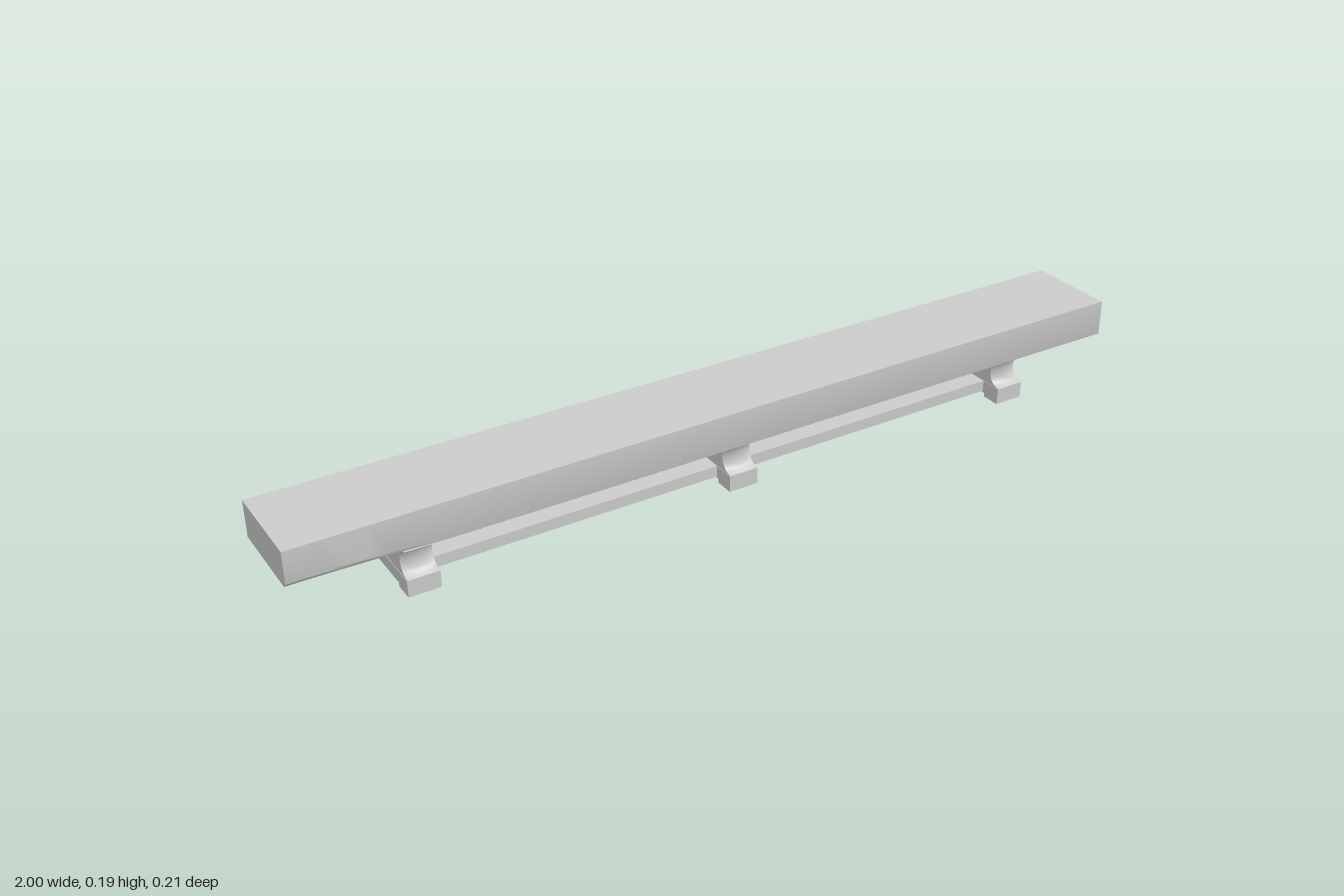
import * as THREE from 'three';
import { toCreasedNormals } from 'three/addons/utils/BufferGeometryUtils.js';

const material = new THREE.MeshStandardMaterial({ color: 0xcccccc });

function part(name, geometry, parent) {
  const mesh = new THREE.Mesh(geometry, material);
  mesh.name = name;
  parent.add(mesh);
  return mesh;
}

// Beam along x whose lower front edge is rounded by radius(x)
function wornBeam(length, height, depth, radius) {
  const steps = 48, arc = 6, n = arc + 4;
  const h = height / 2, d = depth / 2, pos = [], idx = [];
  for (let i = 0; i <= steps; i++) {
    const x = (i / steps - 0.5) * length, r = Math.max(radius(x), 0.0002);
    const ring = [[h, d], [h, -d], [-h, -d]];
    for (let k = 0; k <= arc; k++) {
      const a = (k / arc) * Math.PI / 2;
      ring.push([-h + r - r * Math.cos(a), d - r + r * Math.sin(a)]);
    }
    ring.forEach(([y, z]) => pos.push(x, y, z));
  }
  for (let i = 0; i < steps; i++) {
    for (let j = 0; j < n; j++) {
      const a = i * n + j, b = i * n + (j + 1) % n;
      idx.push(a, b, a + n, b, b + n, a + n);
    }
  }
  // End caps
  const last = steps * n;
  for (let j = 1; j < n - 1; j++) {
    idx.push(0, j + 1, j, last, last + j, last + j + 1);
  }
  // Make sure that the winding faces outwards
  const g = new THREE.BufferGeometry();
  g.setAttribute('position', new THREE.Float32BufferAttribute(pos, 3));
  g.setIndex(orientOutward(pos, idx));
  return toCreasedNormals(g, 0.6);
}

// Flips all triangles if the enclosed volume is negative
function orientOutward(pos, idx) {
  const v = (i) => new THREE.Vector3().fromArray(pos, i * 3);
  let volume = 0;
  for (let i = 0; i < idx.length; i += 3) {
    volume += v(idx[i]).dot(v(idx[i + 1]).cross(v(idx[i + 2])));
  }
  return volume < 0 ? idx.reverse() : idx;
}

// Neck hollowed front and back, cut deeper towards its corners
function neckGeometry(width, height, halfDepth) {
  const g = new THREE.BoxGeometry(width, height, halfDepth * 2, 8, 16, 2);
  const p = g.attributes.position;
  for (let i = 0; i < p.count; i++) {
    const u = p.getX(i) / (width / 2), t = p.getY(i) / (height / 2);
    const cut = (0.02 + 0.011 * u * u) * Math.sqrt(Math.max(0, 1 - t * t));
    p.setZ(i, p.getZ(i) * (1 - cut / halfDepth));
  }
  g.computeVertexNormals();
  return g;
}

// Foot block with a shallow recess underneath
function footGeometry(width, height, halfDepth) {
  const s = new THREE.Shape([
    [-halfDepth, 0], [-0.061, 0], [-0.061, 0.009], [0.061, 0.009],
    [0.061, 0], [halfDepth, 0], [halfDepth, height], [-halfDepth, height],
  ].map(([x, y]) => new THREE.Vector2(x, y)));
  const g = new THREE.ExtrudeGeometry(s, { depth: width, bevelEnabled: false });
  return g.translate(0, 0, -width / 2).rotateY(Math.PI / 2);
}

export function createModel() {
  const bench = new THREE.Group();
  bench.name = 'bench';

  // Seat slab, its lower front edge worn round at one end
  const seat = wornBeam(2, 0.083, 0.212, (x) =>
    0.017 * Math.sqrt(THREE.MathUtils.clamp((-0.7 - x) / 0.25, 0, 1)));
  part('seat', seat, bench).position.y = 0.1445;

  // Three trestle legs
  for (const x of [-0.733, 0, 0.733]) {
    const leg = new THREE.Group();
    leg.name = 'leg';
    leg.position.x = x;
    part('foot', footGeometry(0.07, 0.038, 0.106), leg);
    part('neck', neckGeometry(0.068, 0.065, 0.106), leg).position.y = 0.0705;
    bench.add(leg);
  }

  // Low stretcher joining the legs, worn along part of its back edge
  const rail = wornBeam(1.42, 0.026, 0.11, (x) =>
    x > 0 && x < 0.7 ? 0.014 * Math.sin((x / 0.7) * Math.PI) : 0);
  const stretcher = part('stretcher', rail, bench);
  stretcher.position.y = 0.025;
  stretcher.rotation.y = Math.PI;

  return bench;
}
